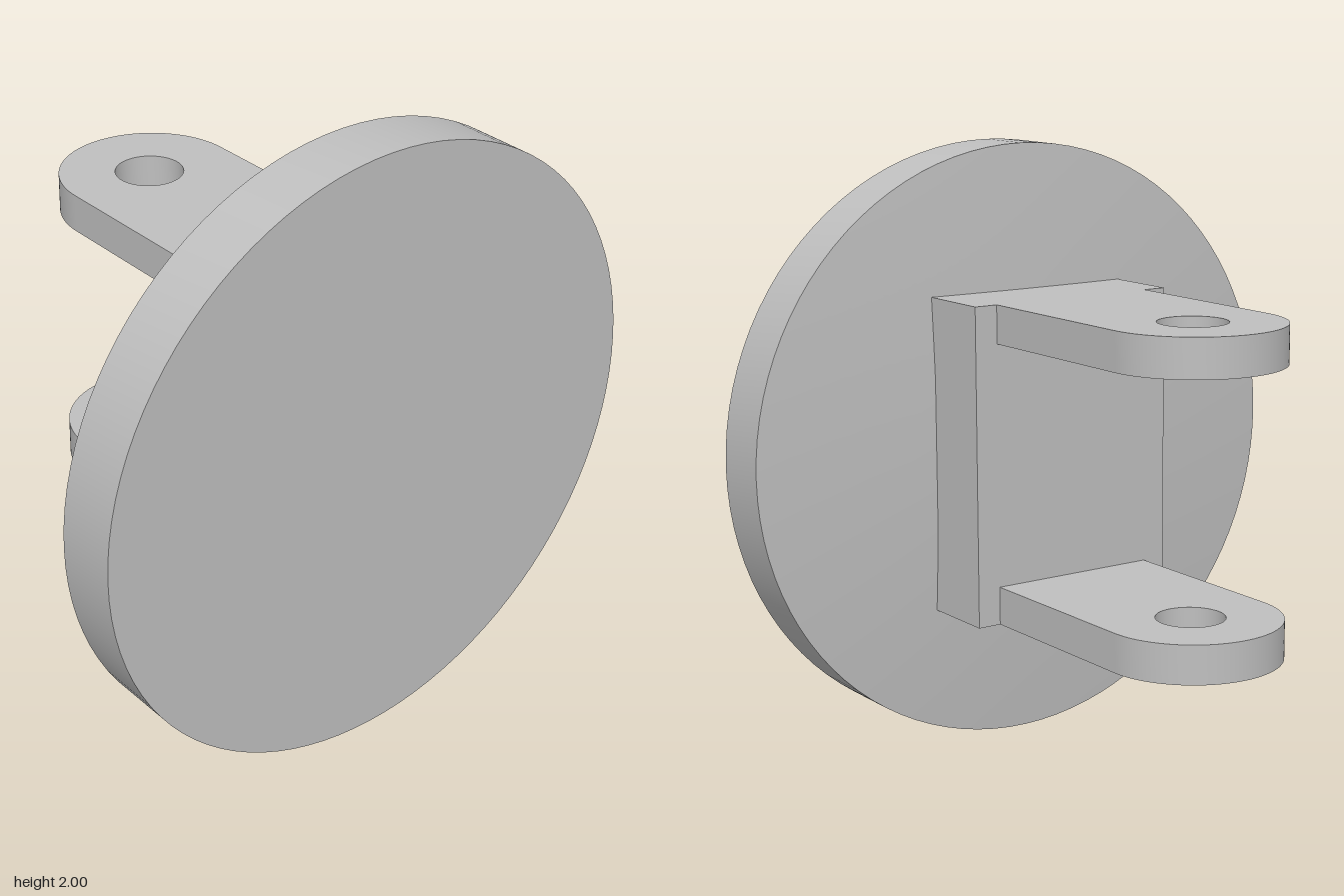
import * as THREE from 'three';
import { toCreasedNormals } from 'three/addons/utils/BufferGeometryUtils.js';

export function createModel() {
  const model = new THREE.Group();
  model.name = 'clevisPlate';
  const grey = new THREE.MeshStandardMaterial({ color: 0xbfbfbf });
  grey.name = 'plain grey';

  const add = (name, geometry, x, y, z) => {
    const mesh = new THREE.Mesh(geometry, grey);
    mesh.name = name;
    mesh.position.set(x, y, z);
    model.add(mesh);
  };

  // Round plate with a shallow conical back, turned about the z axis
  const profile = [[0, 0.455], [0.45, 0.455], [1, 0.5], [1, 0.71], [0, 0.71]];
  const plate = new THREE.LatheGeometry(profile.map(([r, z]) => new THREE.Vector2(r, z)), 96);
  plate.rotateX(Math.PI / 2);
  add('roundPlate', toCreasedNormals(plate, 0.5), 0, 1, 0);

  // Mounting block, sunk slightly into the plate
  add('mountingBlock', new THREE.BoxGeometry(0.74, 1.045, 0.29), 0, 1.0025, 0.355);

  // Two round-ended lugs with pin holes, flush with the block's ends
  const outline = new THREE.Shape();
  outline.moveTo(-0.29, -0.21);
  outline.lineTo(0.29, -0.21);
  outline.lineTo(0.29, 0.42);
  outline.absarc(0, 0.42, 0.29, 0, Math.PI, false);
  outline.closePath();
  const hole = new THREE.Path();
  hole.absarc(0, 0.42, 0.11, 0, Math.PI * 2, true);
  outline.holes.push(hole);
  const lug = new THREE.ExtrudeGeometry(outline, { depth: 0.125, bevelEnabled: false, curveSegments: 32 });
  lug.rotateX(-Math.PI / 2);
  const lugGeometry = toCreasedNormals(lug, 0.5);
  add('lowerLug', lugGeometry, 0, 0.48, 0);
  add('upperLug', lugGeometry, 0, 1.4, 0);

  return model;
}
